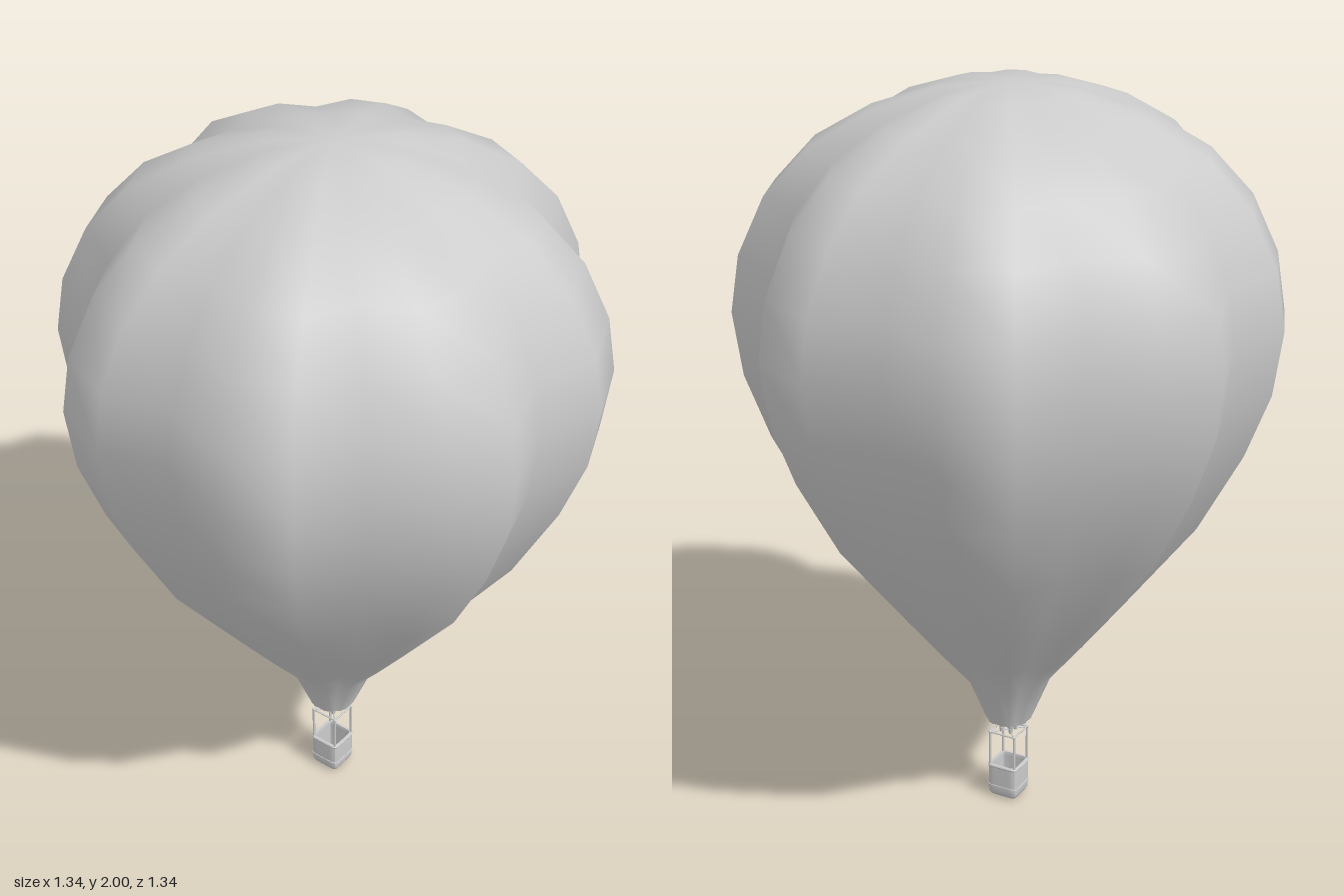
import * as THREE from 'three';
import { mergeVertices, toCreasedNormals } from 'three/addons/utils/BufferGeometryUtils.js';

const material = new THREE.MeshStandardMaterial({ color: 0xcccccc, side: THREE.DoubleSide });

function add(parent, name, geometry, x = 0, y = 0, z = 0) {
  const mesh = new THREE.Mesh(geometry, material);
  mesh.name = name;
  mesh.position.set(x, y, z);
  parent.add(mesh);
  return mesh;
}

// thin round bar between two points
function bar(parent, name, a, b, radius) {
  const from = new THREE.Vector3(...a), to = new THREE.Vector3(...b);
  const dir = to.clone().sub(from);
  const mesh = add(parent, name, new THREE.CylinderGeometry(radius, radius, dir.length(), 8));
  mesh.position.copy(from).add(to).multiplyScalar(0.5);
  mesh.quaternion.setFromUnitVectors(new THREE.Vector3(0, 1, 0), dir.normalize());
}

// lathe whose radius is scaled by a rule of angle and height
function shapedLathe(profile, segments, rule) {
  const geo = new THREE.LatheGeometry(profile.map(([r, y]) => new THREE.Vector2(r, y)), segments);
  const p = geo.attributes.position;
  for (let i = 0; i < p.count; i++) {
    const column = Math.floor(i / profile.length);
    const k = rule(column, p.getY(i));
    p.setXYZ(i, p.getX(i) * k, p.getY(i), p.getZ(i) * k);
  }
  geo.deleteAttribute('uv');
  geo.deleteAttribute('normal');
  const merged = mergeVertices(geo, 1e-5);
  merged.computeVertexNormals();
  return merged;
}

function makeEnvelope(parent) {
  // radius and height along the crown of a gore, mouth to apex
  const profile = [
    [0.062, 0.24], [0.114, 0.37], [0.2, 0.475], [0.302, 0.605], [0.495, 0.855],
    [0.609, 1.07], [0.672, 1.24], [0.695, 1.41], [0.672, 1.56], [0.604, 1.71],
    [0.496, 1.83], [0.346, 1.92], [0.176, 1.98], [0, 2.0],
  ];
  // eight gores of three strips each, pinched in at the seams
  const geo = shapedLathe(profile, 24, (column, y) =>
    column % 3 === 0 ? 0.885 + 0.06 * Math.max(0, (0.5 - y) / 0.26) : 1);
  add(parent, 'envelope', geo);
}

function makeBasket(parent) {
  const basket = new THREE.Group();
  basket.name = 'basket';
  parent.add(basket);
  // circle pushed out to a rounded square
  const segments = 48;
  const square = (column) => {
    const a = (column / segments) * Math.PI * 2;
    return Math.pow(Math.abs(Math.sin(a)) ** 8 + Math.abs(Math.cos(a)) ** 8, -1 / 8);
  };
  const ring = (name, profile) =>
    add(basket, name, toCreasedNormals(shapedLathe(profile, segments, square), 0.7));
  ring('basketShell', [
    [0, 0.003], [0.032, 0.003], [0.038, 0.006], [0.042, 0.014], [0.043, 0.03],
    [0.043, 0.096], [0.037, 0.096], [0.037, 0.012], [0, 0.012],
  ]);
  ring('basketRim', [
    [0.036, 0.093], [0.044, 0.093], [0.045, 0.097], [0.043, 0.1], [0.037, 0.1], [0.036, 0.093],
  ]);
  ring('basketBand', [[0.042, 0.032], [0.0445, 0.033], [0.0445, 0.037], [0.042, 0.038]]);
  // skids under the floor
  for (const s of [-1, 1]) add(basket, 'skid', new THREE.BoxGeometry(0.006, 0.005, 0.066), s * 0.022, 0.0025, 0);
}

function makeBurnerFrame(parent) {
  const frame = new THREE.Group();
  frame.name = 'burnerFrame';
  parent.add(frame);
  const c = 0.037, top = 0.198;
  for (const [sx, sz] of [[1, 1], [-1, 1], [-1, -1], [1, -1]]) {
    // corner pole, its knob and the rail to the next corner
    bar(frame, 'pole', [sx * c, 0.09, sz * c], [sx * c, top, sz * c], 0.0035);
    add(frame, 'poleKnob', new THREE.SphereGeometry(0.005, 10, 8), sx * c, top, sz * c);
    bar(frame, 'topRail', [sx * c, top, sz * c], [-sz * c, top, sx * c], 0.0025);
    // diagonal strut to one of four burners
    const b = 0.014;
    bar(frame, 'burnerStrut', [sx * c, top, sz * c], [0, top, 0], 0.002);
    add(frame, 'burnerCan', new THREE.CylinderGeometry(0.007, 0.005, 0.014, 12), sx * b, 0.203, sz * b);
    add(frame, 'burnerCone', new THREE.CylinderGeometry(0.0085, 0.006, 0.01, 12, 1, true), sx * b, 0.214, sz * b);
  }
}

export function createModel() {
  const model = new THREE.Group();
  model.name = 'hotAirBalloon';
  makeEnvelope(model);
  makeBasket(model);
  makeBurnerFrame(model);
  return model;
}
